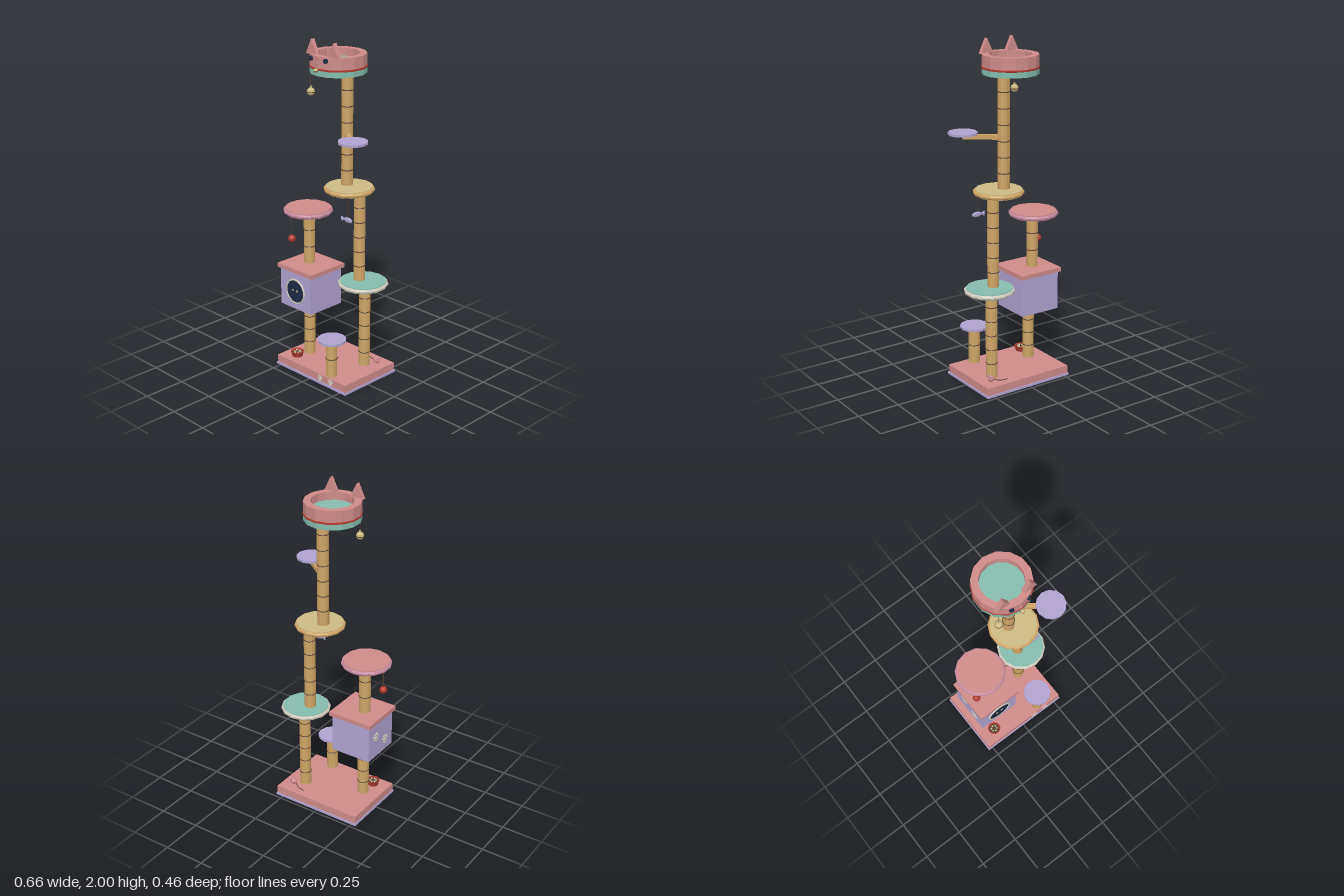
import * as THREE from 'three';

const colours = {
  pink: 0xcf8b8b, lavender: 0xb0a3d0, teal: 0x84bcae, khaki: 0xcbbb84, wood: 0xcfa566,
  rope: 0x5a4030, red: 0xb03a30, navy: 0x1c2a44, cream: 0xcfcabc, mauve: 0xc489a0,
};
const mats = {};

function add(parent, name, geo, colour, x = 0, y = 0, z = 0) {
  const m = new THREE.Mesh(geo, mats[colour]);
  m.name = name;
  m.position.set(x, y, z);
  parent.add(m);
  return m;
}
const box = (w, h, d) => new THREE.BoxGeometry(w, h, d);
const disc = (r, h, n = 14) => new THREE.CylinderGeometry(r, r, h, n);
const ball = (r) => new THREE.SphereGeometry(r, 8, 6);
const lathe = (pts, n = 14) => new THREE.LatheGeometry(pts.map(p => new THREE.Vector2(...p)), n);

// Wooden post wrapped with evenly spaced rope bands
function post(parent, name, x, z, y0, y1) {
  const g = new THREE.Group();
  g.name = name;
  g.position.set(x, 0, z);
  parent.add(g);
  add(g, 'postCore', disc(0.034, y1 - y0, 12), 'wood', 0, (y0 + y1) / 2, 0);
  const count = Math.max(2, Math.round((y1 - y0) / 0.09));
  for (let i = 1; i < count; i++) {
    const band = add(g, 'ropeBand', new THREE.TorusGeometry(0.034, 0.0032, 5, 12), 'rope', 0, y0 + (y1 - y0) * i / count, 0);
    band.rotation.x = Math.PI / 2;
  }
}

// Round platform with a bevelled rim
function platform(parent, name, x, z, y, colour, rim) {
  const g = new THREE.Group();
  g.name = name;
  g.position.set(x, y, z);
  parent.add(g);
  add(g, 'disc', disc(0.135, 0.032), colour, 0, 0.016, 0);
  add(g, 'rim', lathe([[0.134, 0.002], [0.141, 0.004], [0.146, 0.011], [0.146, 0.019], [0.141, 0.026], [0.134, 0.028]]), rim);
}

// Hanging cord between two heights
function cord(parent, x, z, y0, y1) {
  add(parent, 'cord', disc(0.0022, y1 - y0, 5), 'rope', x, (y0 + y1) / 2, z);
}

// Flat paw print facing +z
function paw(parent, x, y, z, s) {
  const g = new THREE.Group();
  g.name = 'pawPrint';
  g.position.set(x, y, z);
  g.scale.set(s, s, 1);
  parent.add(g);
  const pads = [[0, -0.3, 0.6], [-0.72, 0.3, 0.25], [-0.27, 0.7, 0.27], [0.27, 0.7, 0.27], [0.72, 0.3, 0.25]];
  for (const [px, py, r] of pads) {
    add(g, 'pad', disc(r, 0.006, 10), 'cream', px, py, 0).rotation.x = Math.PI / 2;
  }
  return g;
}

function bell(parent, x, y, z, r) {
  add(parent, 'bell', ball(r), 'khaki', x, y, z);
  add(parent, 'bellBand', disc(r * 1.03, r * 0.2, 8), 'rope', x, y - r * 0.1, z);
}

export function createModel() {
  for (const [name, color] of Object.entries(colours)) {
    mats[name] = new THREE.MeshStandardMaterial({ color, flatShading: true });
    mats[name].name = name;
  }
  const root = new THREE.Group();
  root.name = 'catTree';

  // Base
  add(root, 'baseTrim', box(0.576, 0.014, 0.425), 'lavender', 0.008, 0.007, -0.018);
  add(root, 'baseTop', box(0.566, 0.048, 0.414), 'pink', 0.008, 0.036, -0.018);
  paw(root, 0.088, 0.035, 0.19, 0.021);
  paw(root, 0.174, 0.035, 0.19, 0.021);

  // Posts
  post(root, 'lowerRightPost', 0.175, -0.09, 0.06, 0.58);
  post(root, 'middleRightPost', 0.148, -0.07, 0.605, 1.137);
  post(root, 'upperPost', 0.063, -0.053, 1.165, 1.812);
  post(root, 'lowerLeftPost', -0.167, 0.025, 0.06, 0.387);
  post(root, 'upperLeftPost', -0.182, 0.01, 0.64, 0.952);
  post(root, 'stepPost', 0.14, 0.147, 0.06, 0.282);

  // Platforms
  platform(root, 'tealPlatform', 0.177, -0.073, 0.573, 'teal', 'cream');
  platform(root, 'khakiPlatform', 0.091, -0.043, 1.135, 'khaki', 'wood');
  platform(root, 'pinkPlatform', -0.19, 0.011, 0.95, 'pink', 'mauve');

  // Small round steps and the bracket arm
  add(root, 'lowStep', disc(0.084, 0.014, 12), 'lavender', 0.14, 0.286, 0.144);
  add(root, 'highStep', disc(0.084, 0.014, 12), 'lavender', 0.243, 1.482, 0.087);
  const arm = add(root, 'stepArm', box(0.215, 0.026, 0.026), 'wood', 0.158, 1.462, 0.021);
  arm.rotation.y = -Math.atan2(0.14, 0.18);

  // House
  const house = new THREE.Group();
  house.name = 'house';
  house.position.set(-0.16, 0, 0.02);
  root.add(house);
  add(house, 'houseWalls', box(0.253, 0.232, 0.25), 'lavender', 0, 0.5, 0);
  add(house, 'houseRoof', box(0.282, 0.026, 0.274), 'pink', 0, 0.628, 0);
  add(house, 'doorway', disc(0.07, 0.006, 20), 'navy', 0, 0.496, 0.126).rotation.x = Math.PI / 2;
  add(house, 'doorRing', new THREE.TorusGeometry(0.073, 0.006, 6, 20), 'cream', 0, 0.496, 0.127);
  for (const s of [-1, 1]) {
    const eye = add(house, 'peepingEye', disc(0.009, 0.004, 3), 'khaki', s * 0.017, 0.502, 0.131);
    eye.rotation.x = Math.PI / 2;
  }
  const pawWall = new THREE.Group();
  pawWall.name = 'sideWallPaws';
  pawWall.rotation.y = -Math.PI / 2;
  house.add(pawWall);
  paw(pawWall, -0.05, 0.515, 0.128, 0.03);
  paw(pawWall, 0.045, 0.455, 0.128, 0.03);

  // Top bed
  const bed = new THREE.Group();
  bed.name = 'topBed';
  bed.position.set(0.007, 0, -0.038);
  root.add(bed);
  add(bed, 'bedBase', disc(0.16, 0.04), 'teal', 0, 1.831, 0);
  add(bed, 'bedWall', lathe([[0.16, 1.85], [0.16, 1.92], [0.12, 1.92], [0.12, 1.85]]), 'pink');
  add(bed, 'bedCushion', disc(0.121, 0.025), 'teal', 0, 1.862, 0);
  add(bed, 'collar', lathe([[0.158, 1.842], [0.1635, 1.844], [0.1635, 1.853], [0.158, 1.855]]), 'red');

  // Ears and eyes, mirrored
  const ear = new THREE.Shape([[-0.041, 0], [0.041, 0], [0, 0.085]].map(p => new THREE.Vector2(...p)));
  const earGeo = new THREE.ExtrudeGeometry(ear, { depth: 0.026, bevelEnabled: false });
  for (const s of [-1, 1]) {
    add(bed, 'ear', earGeo, 'pink', s * 0.085, 1.915, 0.1);
    const eye = add(bed, 'eye', new THREE.CylinderGeometry(0.0135, 0.0135, 0.01, 10).rotateX(Math.PI / 2), 'navy', s * 0.056, 1.902, 0.154);
    eye.rotation.y = s * 0.34;
  }
  add(bed, 'nose', ball(0.006), 'mauve', 0, 1.883, 0.16);
  bell(bed, 0, 1.845, 0.173, 0.0125);

  // Hanging toys
  cord(root, -0.098, 0.072, 1.72, 1.815);
  bell(root, -0.098, 1.7, 0.072, 0.023);
  add(root, 'bellCap', disc(0.006, 0.012, 6), 'khaki', -0.098, 1.726, 0.072);
  cord(root, -0.267, 0.072, 0.79, 0.955);
  add(root, 'redBall', new THREE.IcosahedronGeometry(0.023, 1), 'red', -0.267, 0.78, 0.072);
  cord(root, 0.172, 0.053, 1.015, 1.14);
  const fish = new THREE.Group();
  fish.name = 'fishToy';
  fish.position.set(0.176, 1.006, 0.053);
  root.add(fish);
  add(fish, 'fishBody', ball(0.016), 'lavender').scale.set(2.1, 1, 0.6);
  const tail = add(fish, 'fishTail', new THREE.ConeGeometry(0.017, 0.03, 4), 'lavender', -0.036, 0, 0);
  tail.rotation.z = -Math.PI / 2;
  tail.scale.z = 0.4;

  // Food bowl
  const bowl = new THREE.Group();
  bowl.name = 'foodBowl';
  bowl.position.set(-0.18, 0.06, 0.118);
  root.add(bowl);
  add(bowl, 'bowl', lathe([[0, 0.001], [0.03, 0.001], [0.04, 0.033], [0.034, 0.033], [0.028, 0.014], [0, 0.014]], 12), 'red');
  add(bowl, 'foodBed', disc(0.031, 0.01, 12), 'rope', 0, 0.022, 0);
  for (let i = 0; i < 6; i++) {
    const a = i * Math.PI / 3;
    add(bowl, 'kibble', ball(0.006), i % 2 ? 'khaki' : 'cream', 0.018 * Math.sin(a), 0.029, 0.018 * Math.cos(a));
  }

  // Toy mouse
  const mouse = new THREE.Group();
  mouse.name = 'toyMouse';
  mouse.position.set(0.222, 0.079, -0.15);
  root.add(mouse);
  add(mouse, 'mouseBody', ball(0.019), 'pink').scale.set(1.15, 1, 1);
  for (const s of [-1, 1]) add(mouse, 'mouseEar', ball(0.007), 'mauve', 0.012, 0.015, s * 0.012);
  const curve = new THREE.CatmullRomCurve3([[-0.015, -0.008, 0], [-0.05, -0.016, -0.02], [-0.1, -0.016, -0.03]].map(p => new THREE.Vector3(...p)));
  add(mouse, 'mouseTail', new THREE.TubeGeometry(curve, 8, 0.0025, 5), 'rope');

  return root;
}
